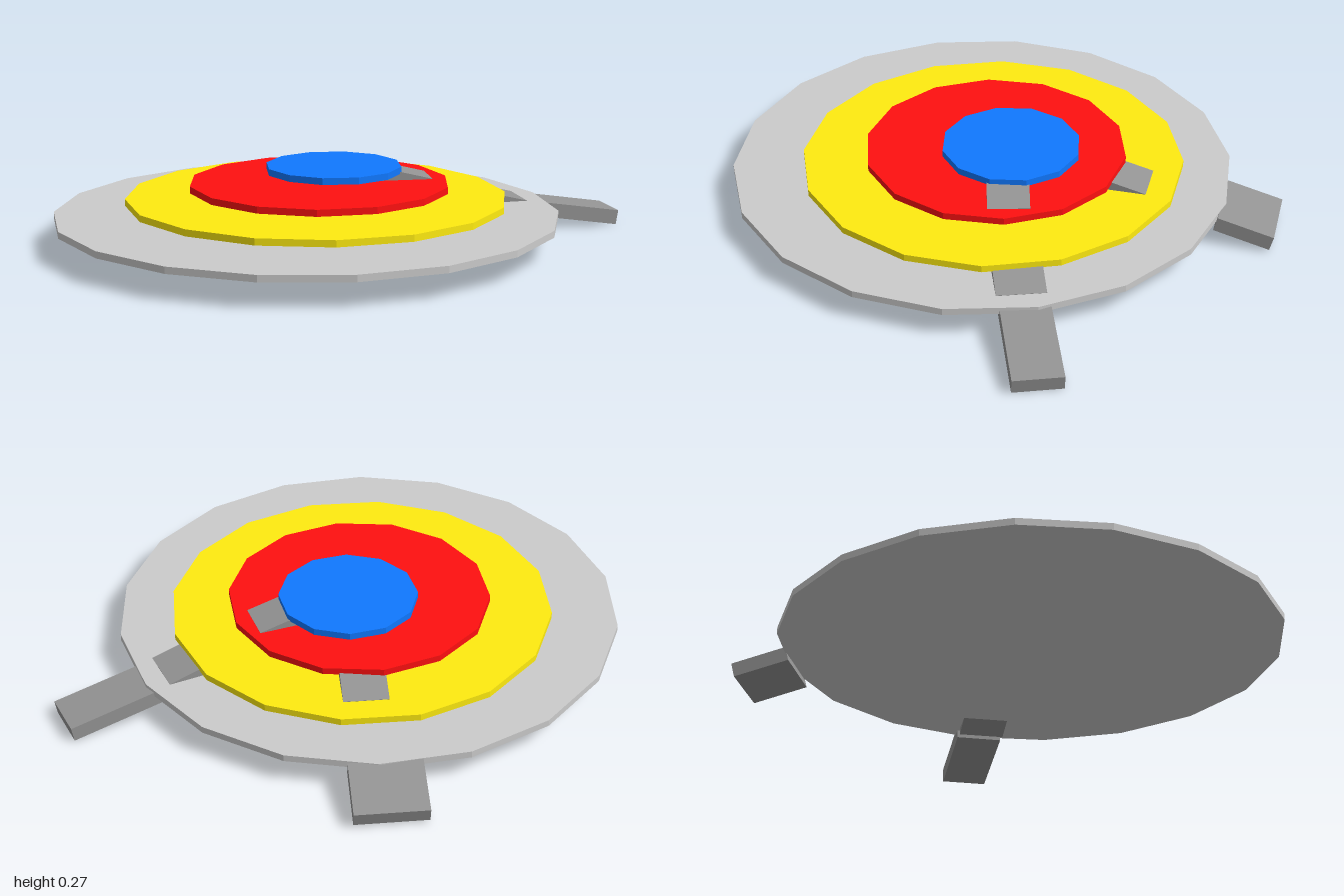
import * as THREE from 'three';

const mat = (color) => new THREE.MeshStandardMaterial({ color, flatShading: true });

// Flat polygonal platform with a corner pointing along x
function platform(name, color, radius, sides, bottom, z) {
  const height = 0.025;
  const geo = new THREE.CylinderGeometry(radius, radius, height, sides);
  geo.rotateY(Math.PI / 2);
  const mesh = new THREE.Mesh(geo, mat(color));
  mesh.name = name;
  mesh.position.set(0, bottom + height / 2, z);
  return mesh;
}

// Sloping slab: its upper face climbs inward from the middle of its low edge (x, yLow, z)
function ramp(name, material, { x, z, yLow, yHigh, run, width, heading, thick = 0.055 }) {
  const rise = yHigh - yLow;
  const geo = new THREE.BoxGeometry(width, thick, Math.hypot(run, rise));
  geo.translate(0, -thick / 2, Math.hypot(run, rise) / 2);
  geo.rotateX(-Math.atan2(rise, run));
  geo.rotateY(THREE.MathUtils.degToRad(heading));
  const mesh = new THREE.Mesh(geo, material);
  mesh.name = name;
  mesh.position.set(x, yLow, z);
  return mesh;
}

export function createModel() {
  const group = new THREE.Group();
  group.name = 'tieredPlatforms';

  // Four stacked platforms, each with fewer sides than the one below
  group.add(
    platform('basePlatform', 0xcccccc, 0.93, 18, 0.096, 0.078),
    platform('secondPlatform', 0xffec10, 0.706, 16, 0.147, 0.02),
    platform('thirdPlatform', 0xff1010, 0.483, 14, 0.198, 0.004),
    platform('topPlatform', 0x1078ff, 0.255, 12, 0.247, -0.081),
  );

  // Ramps joining the levels at the back
  const grey = mat(0x949494);
  group.add(
    ramp('wideGroundRamp', grey,
      { x: -0.592, z: -0.87, yLow: 0.068, yHigh: 0.12, run: 0.205, width: 0.257, heading: 34 }),
    ramp('longGroundRamp', grey,
      { x: 0.672, z: -0.95, yLow: 0.06, yHigh: 0.118, run: 0.36, width: 0.176, heading: -35 }),
    ramp('secondLevelRamp', grey,
      { x: 0.46, z: -0.638, yLow: 0.122, yHigh: 0.17, run: 0.19, width: 0.175, heading: -36 }),
    ramp('thirdLevelRamp', grey,
      { x: -0.298, z: -0.5, yLow: 0.173, yHigh: 0.22, run: 0.19, width: 0.162, heading: 34, thick: 0.05 }),
    ramp('topLevelRamp', grey,
      { x: 0.248, z: -0.34, yLow: 0.224, yHigh: 0.268, run: 0.18, width: 0.152, heading: -41, thick: 0.05 }),
  );

  return group;
}
